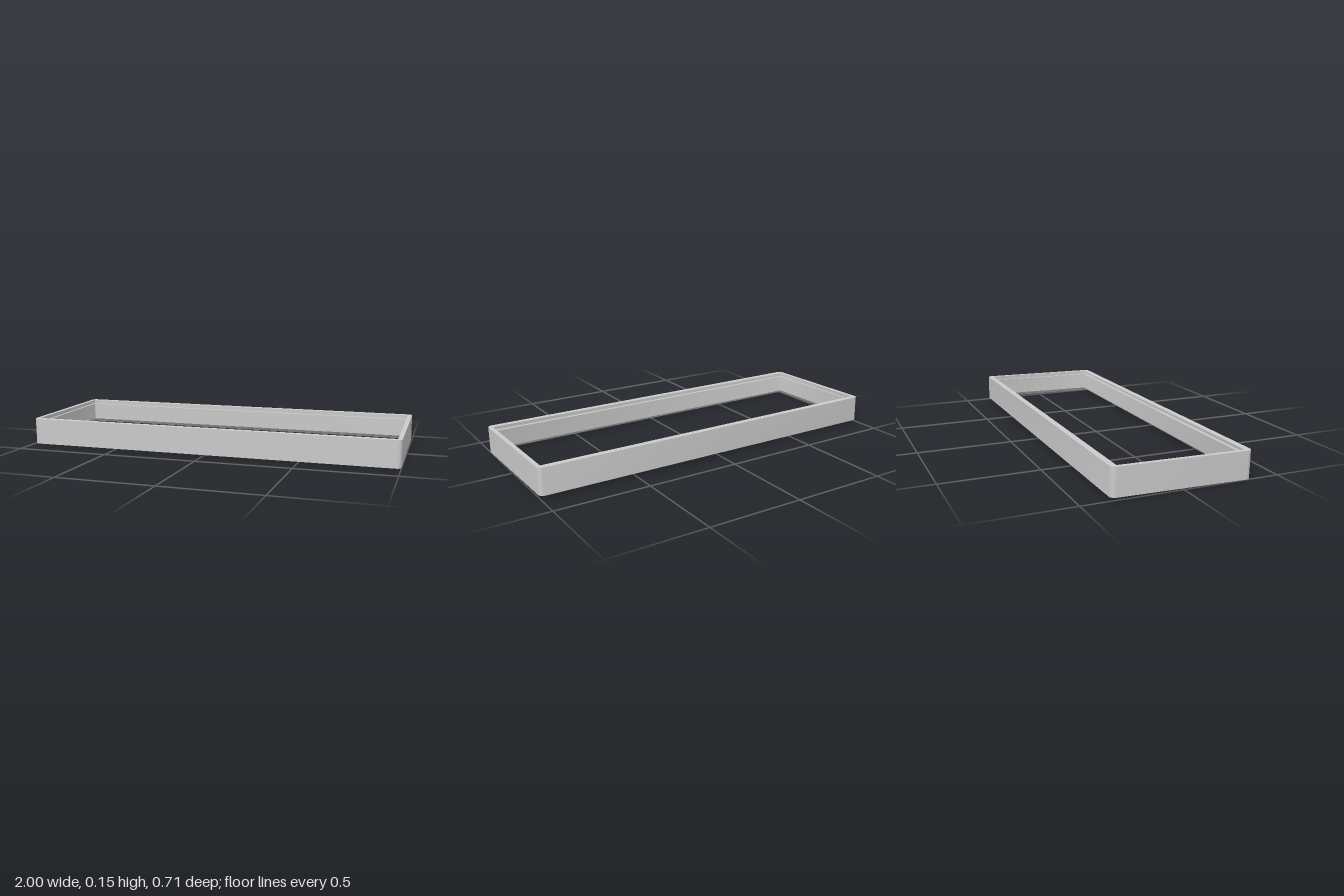
import * as THREE from 'three';
import { toCreasedNormals } from 'three/addons/utils/BufferGeometryUtils.js';

const HALF_X = 1, HALF_Z = 0.355, HEIGHT = 0.14, RADIUS = 0.025;
const TILT = 0.0169, CORNER_STEPS = 8;

// Wall section as [inset, height]: outer face, top rim, inner groove, bevelled foot
const SECTION = [
  [0, 0], [0, HEIGHT], [0.032, HEIGHT], [0.032, 0.129], [0.016, 0.129],
  [0.016, 0.116], [0.032, 0.116], [0.032, 0.021], [0.004, 0],
];

// Rounded rectangle at one inset and height
function ring(inset, y) {
  const hx = HALF_X - inset * 0.7, hz = HALF_Z - inset;
  const r = Math.max(RADIUS - inset, 0.005);
  const points = [];
  [[1, 1], [-1, 1], [-1, -1], [1, -1]].forEach(([sx, sz], corner) => {
    for (let i = 0; i <= CORNER_STEPS; i++) {
      const a = (corner + i / CORNER_STEPS) * Math.PI / 2;
      points.push([sx * (hx - r) + r * Math.cos(a), y, sz * (hz - r) + r * Math.sin(a)]);
    }
  });
  return points;
}

// Carry the closed section around the rectangle
function frameGeometry() {
  const rings = SECTION.map(([d, y]) => ring(d, y));
  const n = rings[0].length, m = rings.length;
  const index = [];
  for (let j = 0; j < m; j++) {
    for (let i = 0; i < n; i++) {
      const k = (i + 1) % n, up = (j + 1) % m;
      const a = j * n + i, b = j * n + k, c = up * n + i, d = up * n + k;
      index.push(a, c, b, b, c, d);
    }
  }
  const geometry = new THREE.BufferGeometry();
  geometry.setAttribute('position', new THREE.Float32BufferAttribute(rings.flat(2), 3));
  geometry.setIndex(index);
  return toCreasedNormals(geometry, 0.5);
}

export function createModel() {
  const group = new THREE.Group();
  group.name = 'rectangularFrame';
  const frame = new THREE.Mesh(frameGeometry(), new THREE.MeshStandardMaterial({ color: 0xcccccc }));
  frame.name = 'frameWall';
  // Slight tilt that raises the back
  frame.rotation.x = TILT;
  frame.position.set(0, HALF_Z * Math.sin(TILT), -HEIGHT / 2 * Math.sin(TILT));
  group.add(frame);
  return group;
}
